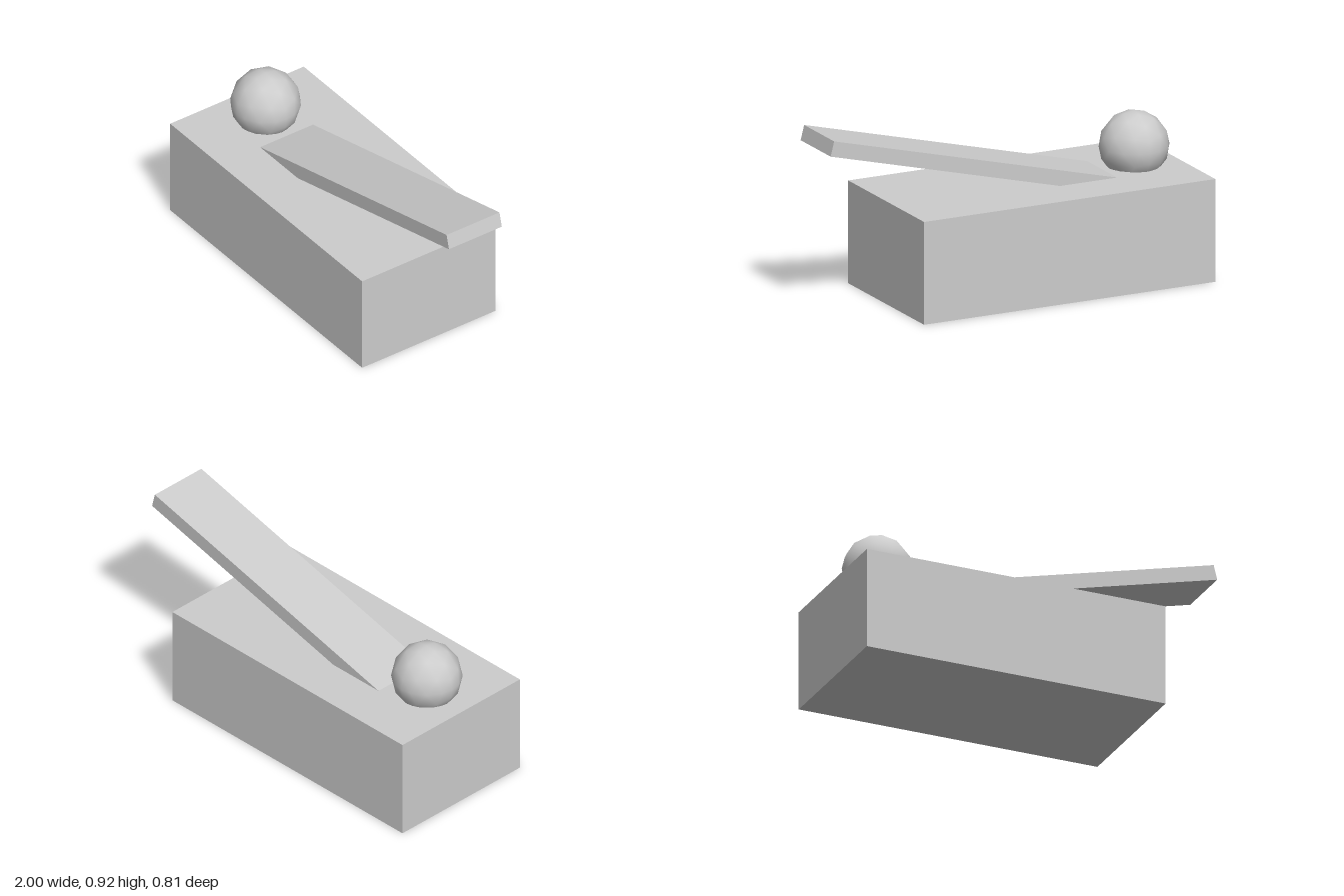
import * as THREE from 'three';

export function createModel() {
  const model = new THREE.Group();
  const grey = new THREE.MeshStandardMaterial({ color: 0xcccccc });
  grey.name = 'light grey';

  const add = (name, geometry, x, y, z) => {
    const mesh = new THREE.Mesh(geometry, grey);
    mesh.name = name;
    mesh.position.set(x, y, z);
    model.add(mesh);
    return mesh;
  };

  // Solid block standing on the ground
  add('base', new THREE.BoxGeometry(1.61, 0.526, 0.808), -0.195, 0.263, 0);

  // Sloping plank, its lower end sunk into the base;
  // the origin is at the middle of the raised end
  const length = 1.8;
  const plank = new THREE.BoxGeometry(length, 0.078, 0.32).translate(-length / 2, 0, 0);
  add('plank', plank, 0.99, 0.887, 0).rotation.z = THREE.MathUtils.degToRad(14.3);

  // Coarse ball with smooth shading, partly sunk into the base
  add('ball', new THREE.OctahedronGeometry(0.176, 3), -0.76, 0.628, 0);

  return model;
}
